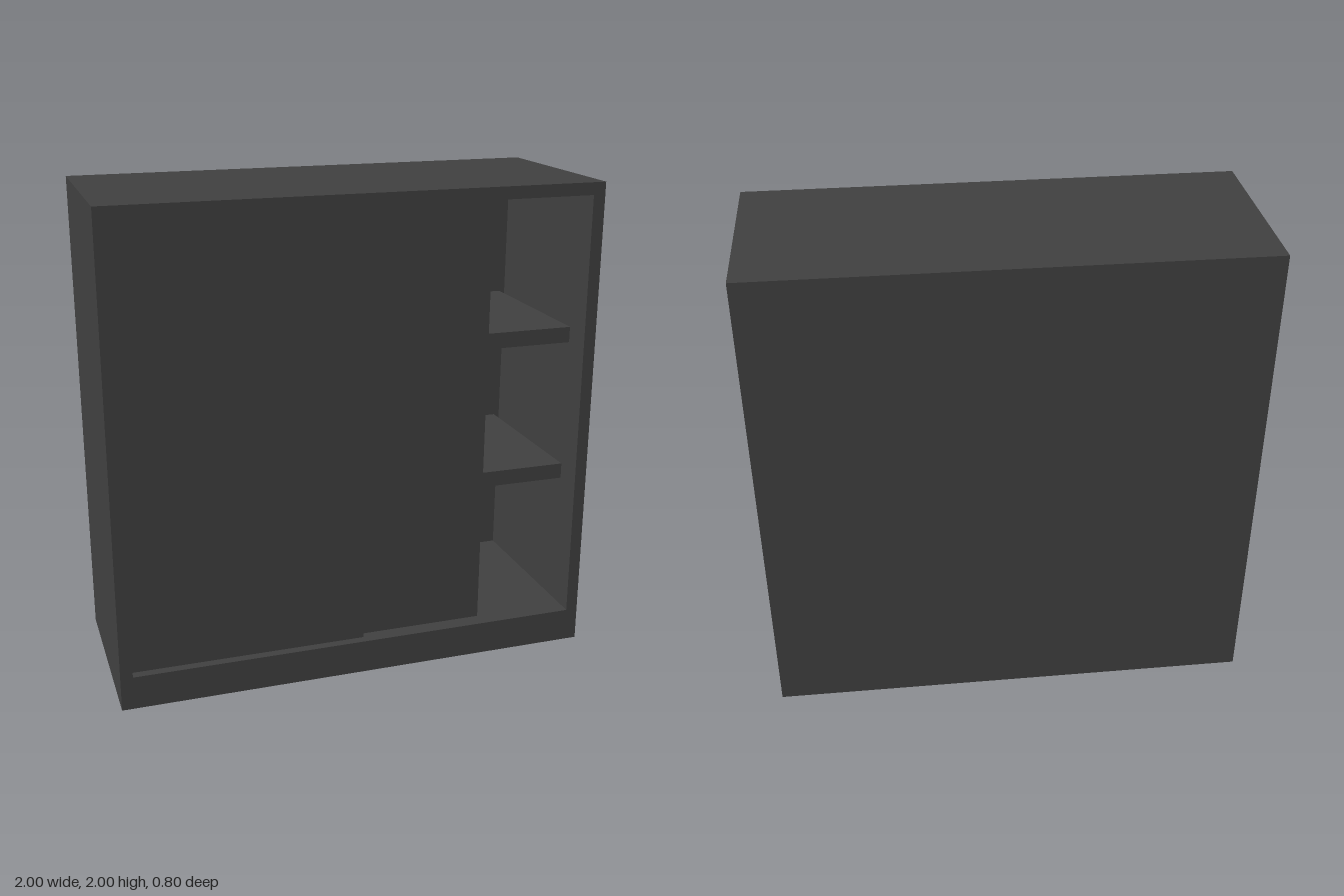
import * as THREE from 'three';

const material = new THREE.MeshStandardMaterial({ color: 0x404040 });

// Box given by its minimum and maximum corners
function panel(group, name, [x0, y0, z0], [x1, y1, z1]) {
  const mesh = new THREE.Mesh(new THREE.BoxGeometry(x1 - x0, y1 - y0, z1 - z0), material);
  mesh.position.set((x0 + x1) / 2, (y0 + y1) / 2, (z0 + z1) / 2);
  mesh.name = name;
  group.add(mesh);
}

export function createModel() {
  const wardrobe = new THREE.Group();
  wardrobe.name = 'slidingDoorWardrobe';

  // Carcass: plinth with floor, top, sides and back
  const floor = 0.14, ceiling = 1.95, inner = 0.95;
  panel(wardrobe, 'plinth', [-1, 0, -0.4], [1, floor, 0.4]);
  panel(wardrobe, 'topPanel', [-1, ceiling, -0.4], [1, 2, 0.4]);
  panel(wardrobe, 'rightSide', [-1, floor, -0.4], [-inner, ceiling, 0.4]);
  panel(wardrobe, 'leftSide', [inner, floor, -0.4], [1, ceiling, 0.4]);
  panel(wardrobe, 'backPanel', [-inner, floor, -0.4], [inner, ceiling, -0.37]);

  // Two sliding doors on separate tracks, leaving one bay open
  panel(wardrobe, 'frontDoor', [-0.948, 0.147, 0.355], [0.02, 1.948, 0.375]);
  panel(wardrobe, 'rearDoor', [-0.42, 0.147, 0.325], [0.55, 1.948, 0.345]);

  // Shelves running behind the doors
  for (const top of [0.8, 1.4]) {
    panel(wardrobe, 'shelf', [-0.925, top - 0.065, -0.37], [0.925, top, 0.32]);
  }
  return wardrobe;
}
